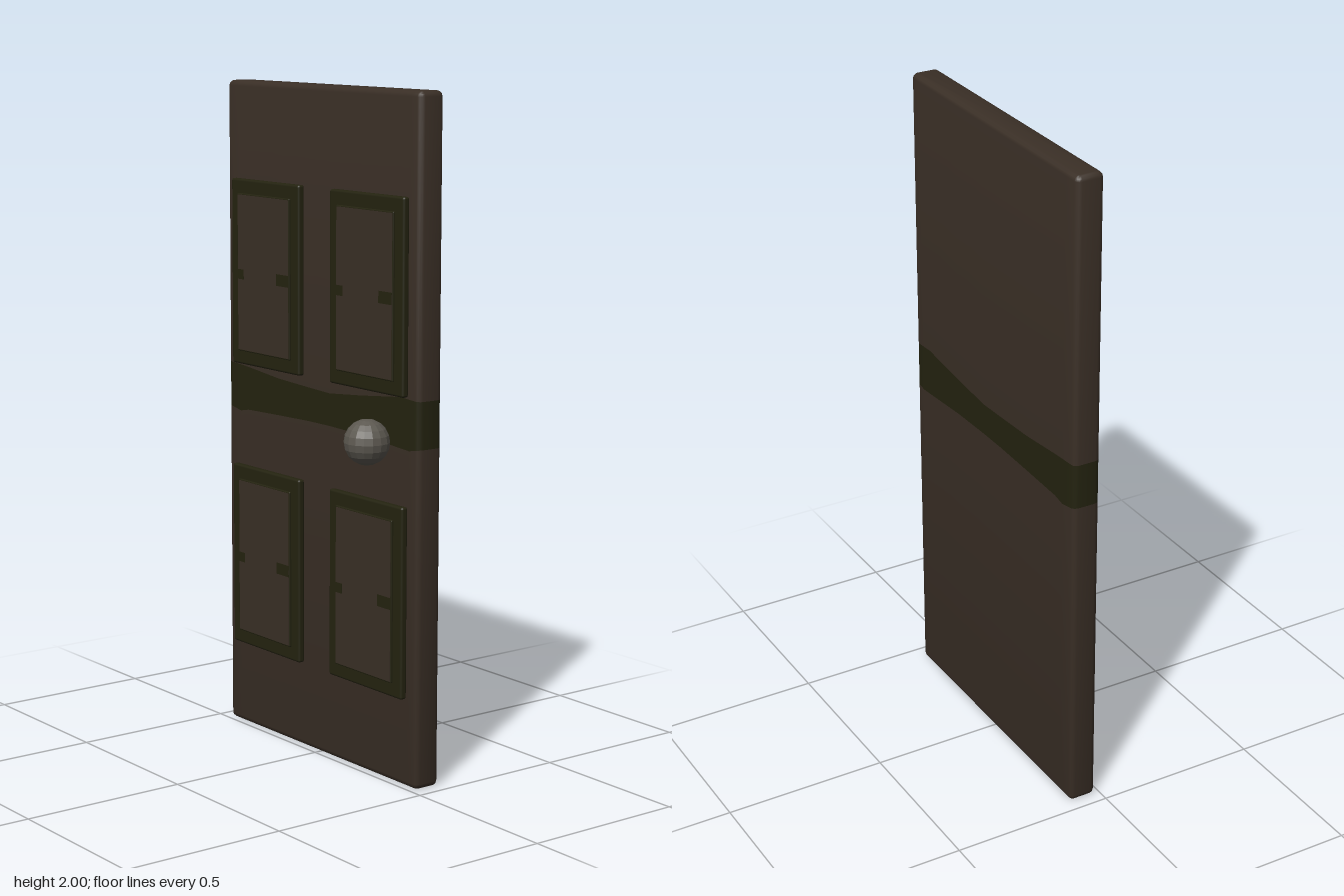
import * as THREE from 'three';
import { toCreasedNormals } from 'three/addons/utils/BufferGeometryUtils.js';
import { RoundedBoxGeometry } from 'three/addons/geometries/RoundedBoxGeometry.js';

const material = (name, color) => {
  const m = new THREE.MeshStandardMaterial({ color });
  m.name = name;
  return m;
};

// Piecewise linear curve through [z, y] points, z rising
function curve(points) {
  return z => {
    let i = 0;
    while (i < points.length - 2 && z > points[i + 1][0]) i++;
    const [z0, y0] = points[i], [z1, y1] = points[i + 1];
    return THREE.MathUtils.mapLinear(THREE.MathUtils.clamp(z, z0, z1), z0, z1, y0, y1);
  };
}

const bandTop = curve([[-0.46, 1.14], [-0.38, 1.135], [-0.2, 1.117], [-0.05, 1.11], [0.05, 1.106], [0.2, 1.12], [0.38, 1.14], [0.46, 1.135]]);
const bandBottom = curve([[-0.46, 1.004], [-0.4, 0.992], [-0.36, 1.0], [-0.2, 1.005], [0, 1.01], [0.2, 1.005], [0.42, 0.99], [0.46, 0.997]]);

const X = 0.058, HALF_X = 0.0425, HALF_Z = 0.4625, R = 0.016;

// Rounded outline of the door in plan, drawn in by an inset
function outline(inset) {
  const r = Math.max(R - inset, 0.001), cx = HALF_X - R, cz = HALF_Z - R;
  const stations = [-0.4, -0.36, -0.2, -0.05, 0.05, 0.2, 0.38, 0.42];
  const pts = [];
  const corner = (sx, sz, start) => {
    for (let i = 0; i <= 3; i++) {
      const t = start + (i / 3) * Math.PI / 2;
      pts.push([X + sx * cx + r * Math.cos(t), sz * cz - r * Math.sin(t)]);
    }
  };
  corner(1, -1, 0);
  corner(-1, -1, Math.PI / 2);
  for (const z of stations) pts.push([X - cx - r, z]);
  corner(-1, 1, Math.PI);
  corner(1, 1, Math.PI * 1.5);
  for (const z of [...stations].reverse()) pts.push([X + cx + r, z]);
  return pts;
}

// Door slab lofted upward, with the painted band as its own material group
function slabGeometry() {
  const ring = (inset, height) => outline(inset).map(([x, z]) => new THREE.Vector3(x, height(z), z));
  const bevel = [0, 1, 2, 3].map(i => {
    const t = (i / 3) * Math.PI / 2;
    return [R * (1 - Math.sin(t)), R * (1 - Math.cos(t))];
  });
  const rings = [
    ...bevel.map(([inset, y]) => ring(inset, () => y)),
    ring(0, bandBottom),
    ring(0, bandTop),
    ...[...bevel].reverse().map(([inset, y]) => ring(inset, () => 2 - y)),
  ];
  const pos = [], geometry = new THREE.BufferGeometry();
  const tri = (...vs) => vs.forEach(v => pos.push(v.x, v.y, v.z));
  const n = rings[0].length;
  for (let k = 0; k < rings.length - 1; k++) {
    const start = pos.length / 3;
    for (let i = 0; i < n; i++) {
      const j = (i + 1) % n, lo = rings[k], hi = rings[k + 1];
      tri(lo[i], lo[j], hi[j]);
      tri(lo[i], hi[j], hi[i]);
    }
    geometry.addGroup(start, n * 6, k === bevel.length ? 1 : 0);
  }
  const start = pos.length / 3;
  const low = rings[0], high = rings[rings.length - 1];
  for (let i = 0; i < n; i++) {
    const j = (i + 1) % n;
    tri(new THREE.Vector3(X, 0, 0), low[j], low[i]);
    tri(new THREE.Vector3(X, 2, 0), high[i], high[j]);
  }
  geometry.addGroup(start, n * 6, 0);
  geometry.setAttribute('position', new THREE.Float32BufferAttribute(pos, 3));
  return toCreasedNormals(geometry, 0.7);
}

export function createModel() {
  const brown = material('brown wood', 0x3a2f26);
  const green = material('dark green trim', 0x242310);
  const metal = material('grey metal', 0x5c5850);
  const door = new THREE.Group();
  door.name = 'door';

  const add = (parent, name, geometry, mat, x, y, z) => {
    const mesh = new THREE.Mesh(geometry, mat);
    mesh.name = name;
    mesh.position.set(x, y, z);
    parent.add(mesh);
  };

  add(door, 'slab', slabGeometry(), [brown, green], 0, 0, 0);

  // Four raised panels: trim, inner board, brown face and two small marks
  for (const y of [0.545, 1.425]) {
    for (const z of [-0.246, 0.244]) {
      const panel = new THREE.Group();
      panel.name = 'panel';
      panel.position.set(0, y, z);
      add(panel, 'panelTrim', new RoundedBoxGeometry(0.022, 0.565, 0.342, 2, 0.007), green, 0.007, 0, 0);
      add(panel, 'panelBoard', new RoundedBoxGeometry(0.014, 0.48, 0.264, 2, 0.003), green, -0.0035, 0, 0);
      add(panel, 'panelFace', new THREE.BoxGeometry(0.002, 0.472, 0.256), brown, -0.0102, 0, 0);
      add(panel, 'innerMark', new THREE.BoxGeometry(0.002, 0.03, 0.03), green, -0.0108, -0.005, -0.113);
      add(panel, 'outerMark', new THREE.BoxGeometry(0.002, 0.035, 0.06), green, -0.0108, -0.005, 0.098);
      door.add(panel);
    }
  }

  // Faceted round knob
  const knob = new THREE.SphereGeometry(0.067, 16, 10).toNonIndexed();
  knob.computeVertexNormals();
  add(door, 'knob', knob, metal, -0.035, 1.003, 0.292);

  return door;
}
